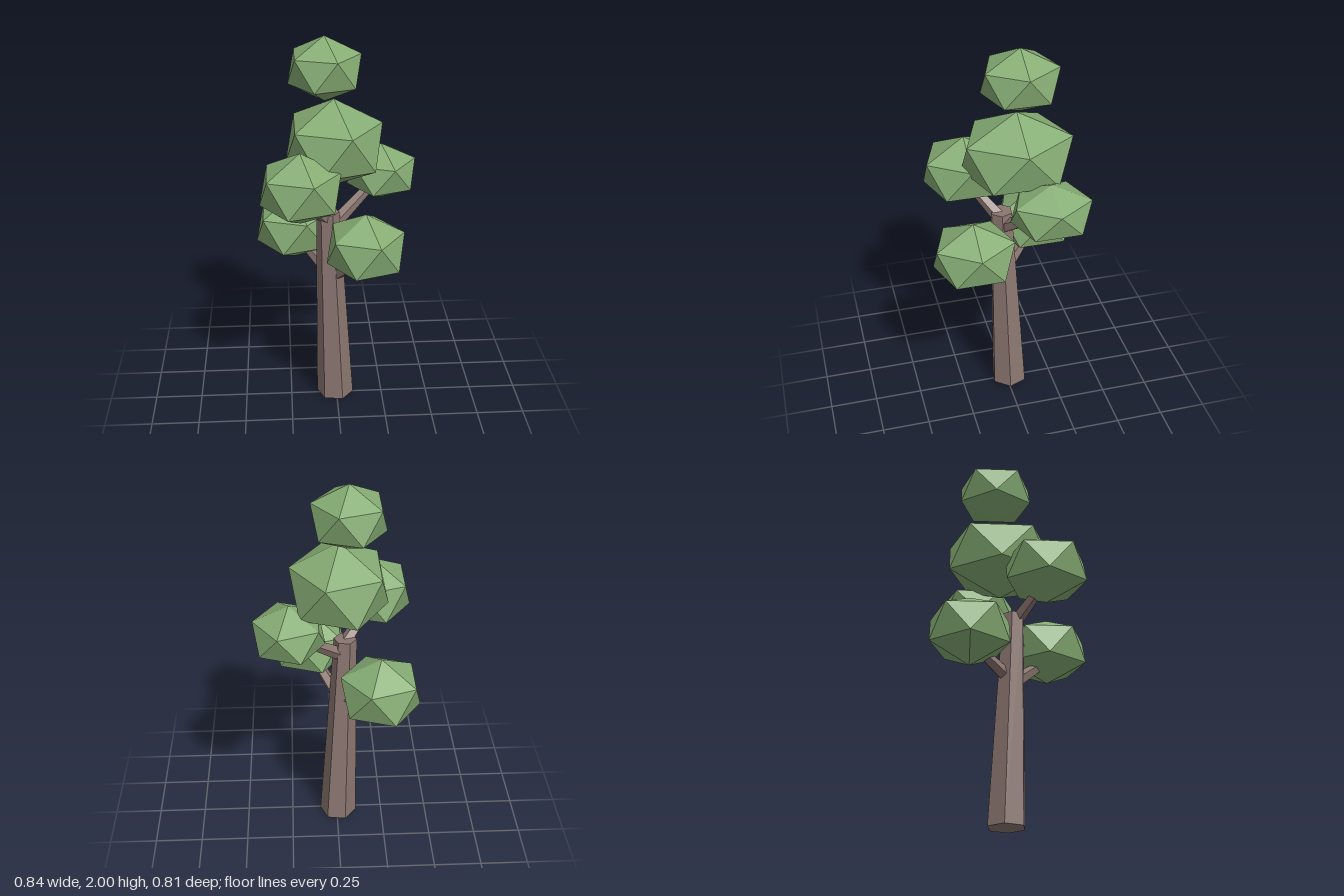
import * as THREE from 'three';

const bark = new THREE.MeshStandardMaterial({ color: 0x8b7670, flatShading: true });
const leaf = new THREE.MeshStandardMaterial({ color: 0x86ad74, flatShading: true });

// Tapered limb between two points
function limb(name, from, to, r0, r1, sides) {
  const a = new THREE.Vector3(...from), b = new THREE.Vector3(...to);
  const dir = b.clone().sub(a);
  const geo = new THREE.CylinderGeometry(r1, r0, dir.length(), sides);
  const mesh = new THREE.Mesh(geo, bark);
  mesh.quaternion.setFromUnitVectors(new THREE.Vector3(0, 1, 0), dir.normalize());
  mesh.position.copy(a).add(b).multiplyScalar(0.5);
  mesh.name = name;
  return mesh;
}

// Leaning trunk: level hexagonal rings, sheared from base centre to top centre
function trunk() {
  const h = 1.11;
  const geo = new THREE.CylinderGeometry(0.06, 0.1, h, 6);
  geo.rotateY(THREE.MathUtils.degToRad(22));
  geo.translate(0, h / 2, 0);
  const pos = geo.attributes.position;
  for (let i = 0; i < pos.count; i++) {
    const t = pos.getY(i) / h;
    pos.setX(i, pos.getX(i) - 0.007 - 0.038 * t);
    pos.setZ(i, pos.getZ(i) - 0.017 + 0.032 * t);
  }
  geo.computeVertexNormals();
  const mesh = new THREE.Mesh(geo, bark);
  mesh.name = 'trunk';
  return mesh;
}

// Icosahedral leaf clump standing on a corner, stretched per axis
function clump(name, centre, radii) {
  const geo = new THREE.IcosahedronGeometry(1, 0);
  geo.rotateZ(-Math.atan(2 / (1 + Math.sqrt(5))));
  geo.scale(...radii);
  geo.computeVertexNormals();
  const mesh = new THREE.Mesh(geo, leaf);
  mesh.position.set(...centre);
  mesh.name = name;
  return mesh;
}

export function createModel() {
  const tree = new THREE.Group();
  tree.name = 'tree';
  tree.add(trunk());

  // Branches reaching into the side clumps
  const branches = [
    ['lowerFrontBranch', [-0.01, 0.75, 0.02], [0.13, 0.92, 0.19]],
    ['lowerBackBranch', [-0.04, 0.76, -0.01], [-0.2, 0.88, -0.2]],
    ['upperFrontBranch', [-0.04, 1.07, 0.02], [-0.18, 1.23, 0.16]],
    ['upperBackBranch', [-0.03, 1.02, 0.01], [0.22, 1.22, -0.15]],
  ];
  for (const [name, from, to] of branches) tree.add(limb(name, from, to, 0.038, 0.024, 5));

  // Foliage
  const clumps = [
    ['topFoliage', [-0.055, 1.835, -0.083], [0.205, 0.165, 0.218]],
    ['mainFoliage', [-0.01, 1.46, -0.055], [0.275, 0.23, 0.315]],
    ['upperFrontFoliage', [-0.188, 1.305, 0.175], [0.226, 0.185, 0.24]],
    ['upperBackFoliage', [0.242, 1.26, -0.165], [0.2, 0.15, 0.225]],
    ['lowerFrontFoliage', [0.135, 0.99, 0.203], [0.218, 0.182, 0.236]],
    ['lowerBackFoliage', [-0.215, 0.935, -0.212], [0.228, 0.185, 0.234]],
  ];
  for (const c of clumps) tree.add(clump(...c));

  return tree;
}
